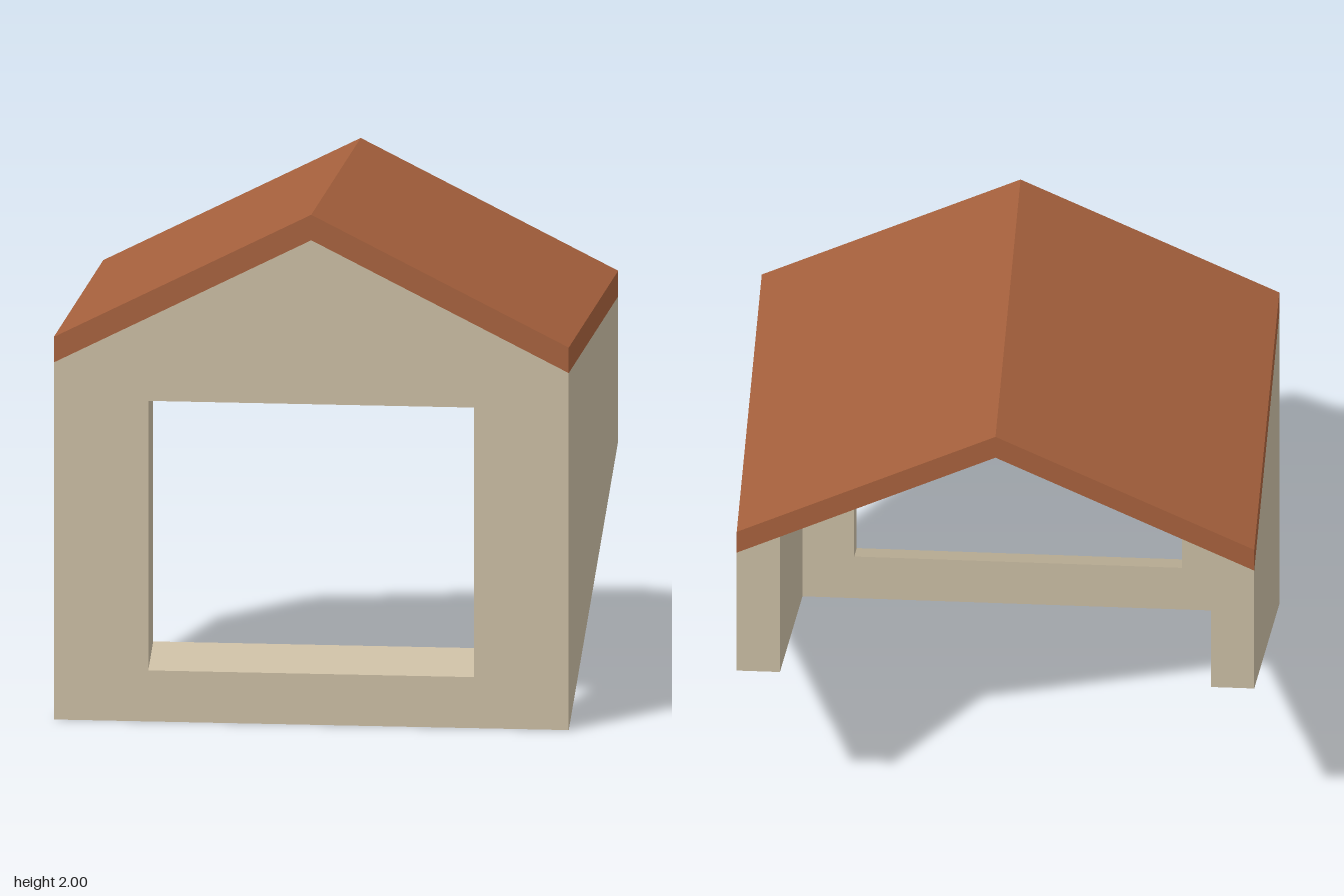
import * as THREE from 'three';

const HALF_W = 1, HALF_D = 0.833;   // footprint
const WALL = 0.167, ROOF = 0.1;     // thicknesses
const EAVE = 1.4, RIDGE = 1.9;      // underside of the roof
const PITCH = 0.5;                  // slope of the gable and of the cut base

const wallMat = new THREE.MeshStandardMaterial({ color: 0xc8bba1 });
const roofMat = new THREE.MeshStandardMaterial({ color: 0xa5603c });

const shapeOf = (pts) => new THREE.Shape(pts.map(([x, y]) => new THREE.Vector2(x, y)));
const extrude = (shape, depth) =>
  new THREE.ExtrudeGeometry(shape, { depth, bevelEnabled: false });

// Raise the chosen vertices of a geometry by a rule
function lift(geo, rule) {
  const p = geo.attributes.position;
  for (let i = 0; i < p.count; i++) {
    p.setY(i, p.getY(i) + rule(p.getX(i), p.getY(i), p.getZ(i)));
  }
  geo.computeVertexNormals();
  return geo;
}

function addMesh(group, name, geo, mat) {
  const mesh = new THREE.Mesh(geo, mat);
  mesh.name = name;
  group.add(mesh);
}

export function createModel() {
  const model = new THREE.Group();
  model.name = 'dormer';

  // Gabled front wall with a window opening; base and sill slope up inwards
  const gable = shapeOf([[-HALF_W, 0], [HALF_W, 0], [HALF_W, EAVE], [0, RIDGE], [-HALF_W, EAVE]]);
  gable.holes.push(shapeOf([[-0.633, 0.2], [-0.633, 1.257], [0.633, 1.257], [0.633, 0.2]]));
  const back = HALF_D - WALL;
  const front = extrude(gable, WALL).translate(0, 0, back);
  lift(front, (x, y, z) => (y < 0.5 && z < back + 0.01 ? WALL * PITCH : 0));
  addMesh(model, 'frontWall', front, wallMat);

  // Side walls, cut along the base slope, inner top edge following the roof
  for (const side of [1, -1]) {
    const profile = shapeOf([
      [-HALF_D, 2 * HALF_D * PITCH], [back, WALL * PITCH], [back, EAVE], [-HALF_D, EAVE],
    ]);
    const geo = extrude(profile, WALL).rotateY(-Math.PI / 2);
    geo.translate(side > 0 ? HALF_W : -HALF_W + WALL, 0, 0);
    lift(geo, (x, y) => (y > 1.3 ? (HALF_W - Math.abs(x)) * PITCH : 0));
    addMesh(model, side > 0 ? 'leftWall' : 'rightWall', geo, wallMat);
  }

  // Pitched roof, open underneath at the back
  const roof = shapeOf([
    [-HALF_W, EAVE], [0, RIDGE], [HALF_W, EAVE],
    [HALF_W, EAVE + ROOF], [0, RIDGE + ROOF], [-HALF_W, EAVE + ROOF],
  ]);
  addMesh(model, 'roof', extrude(roof, 2 * HALF_D).translate(0, 0, -HALF_D), roofMat);

  return model;
}
